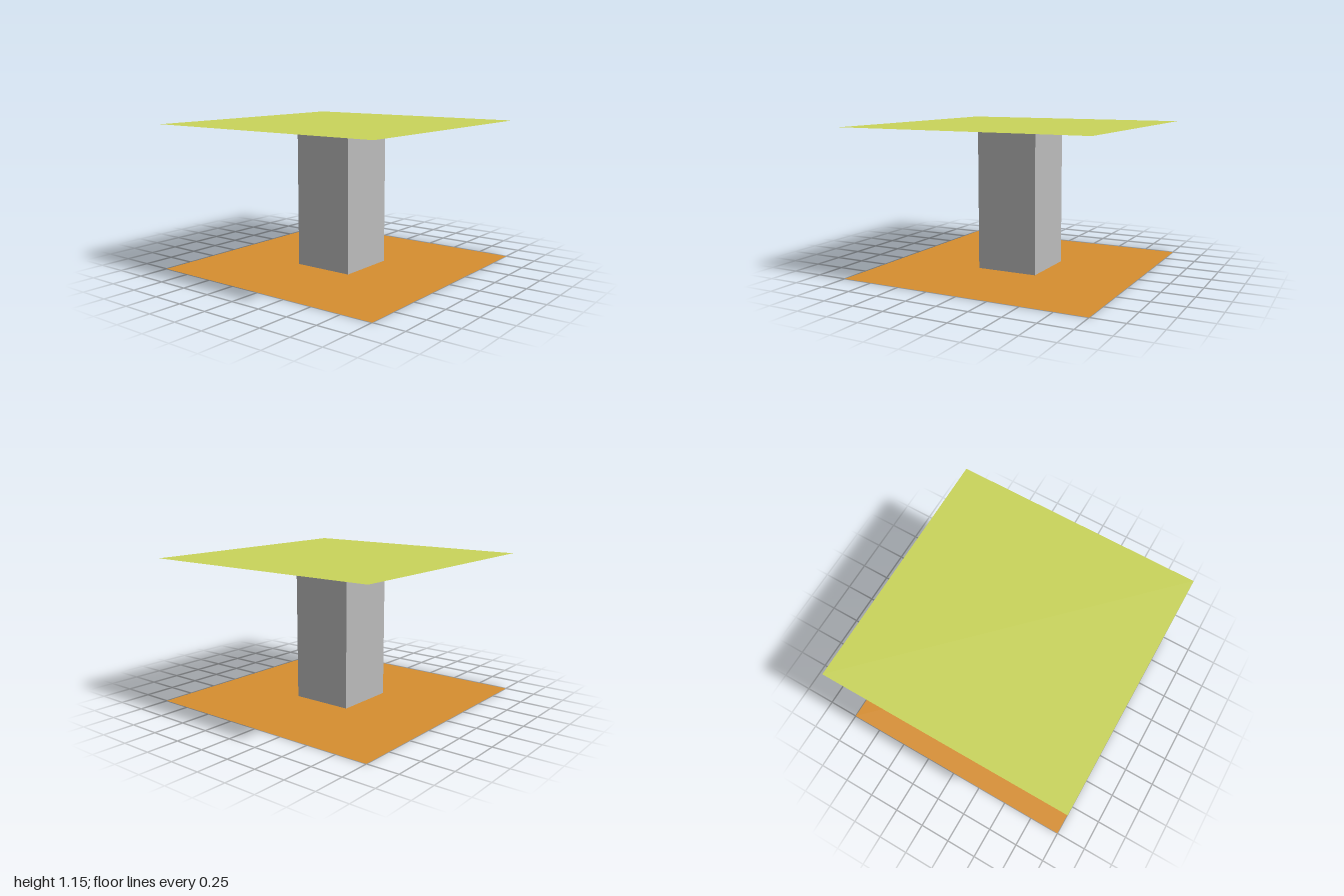
import * as THREE from 'three';

export function createModel() {
  const model = new THREE.Group();
  model.name = 'pillarTable';
  const height = 1.155;

  const material = (name, color) => {
    const m = new THREE.MeshStandardMaterial({ color, side: THREE.DoubleSide });
    m.name = name;
    return m;
  };
  const green = material('leafGreen', 0xc9d45a);
  const orange = material('earthOrange', 0xd68e2f);
  const grey = material('stoneGrey', 0xbcbcbc);

  // A flat sheet facing up
  const addSheet = (name, width, y, mat) => {
    const sheet = new THREE.Mesh(new THREE.PlaneGeometry(width, width).rotateX(-Math.PI / 2), mat);
    sheet.name = name;
    sheet.position.y = y;
    model.add(sheet);
  };
  addSheet('floor', 2, 0, orange);
  addSheet('roof', 2, height, green);

  // Square pillar: four walls between the sheets, which close its ends
  const pillar = new THREE.Group();
  pillar.name = 'pillar';
  for (let i = 0; i < 4; i++) {
    const geometry = new THREE.PlaneGeometry(0.5, height)
      .translate(0, height / 2, 0.25)
      .rotateY((i * Math.PI) / 2);
    const wall = new THREE.Mesh(geometry, grey);
    wall.name = 'pillarWall';
    pillar.add(wall);
  }
  model.add(pillar);

  return model;
}
